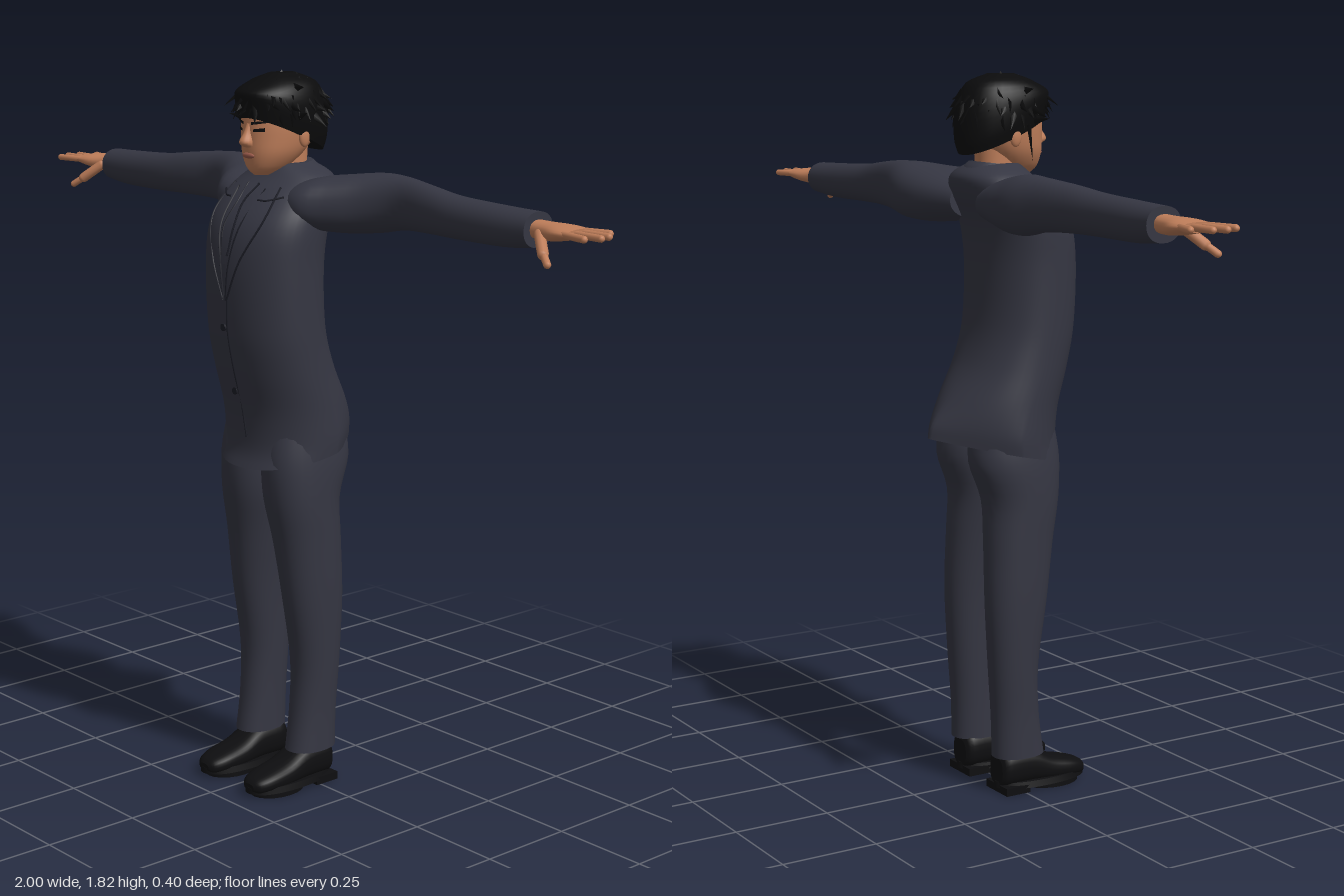
import * as THREE from 'three';
import { mergeGeometries } from 'three/addons/utils/BufferGeometryUtils.js';

const V = (x, y, z) => new THREE.Vector3(x, y, z);
const clamp = THREE.MathUtils.clamp;

// Section row: [t, aMin, aMax, bMin, bMax, exponent of the lower/back half]; Catmull-Rom between rows.
function sample(rows, f) {
  const n = rows.length - 1, i = Math.min(Math.floor(f), n - 1), u = f - i;
  const at = (k, c) => rows[clamp(k, 0, n)][c] ?? 2.2;
  return [0, 1, 2, 3, 4, 5].map((c) => {
    const p0 = at(i - 1, c), p1 = at(i, c), p2 = at(i + 1, c), p3 = at(i + 2, c);
    const m1 = (p2 - p0) / 2, m2 = (p3 - p1) / 2, d = p2 - p1;
    return p1 + u * (m1 + u * (3 * d - 2 * m1 - m2 + u * (m1 + m2 - 2 * d)));
  });
}

// Smooth skin over superellipse sections, closed at both ends.
function loft(rows, toVec, { sides = 32, steps = 4, power = 2.2 } = {}) {
  const pos = [], index = [], count = (rows.length - 1) * steps;
  const ring = (j, shrink) => {
    const [t, a0, a1, b0, b1, pb] = sample(rows, j / steps);
    for (let i = 0; i < sides; i++) {
      const w = (i / sides) * Math.PI * 2, c = Math.cos(w), s = Math.sin(w);
      const p = s < -1e-6 ? pb : power;
      const a = Math.sign(c) * Math.abs(c) ** (2 / p) * shrink;
      const b = Math.sign(s) * Math.abs(s) ** (2 / p) * shrink;
      pos.push(...toVec(t, (a0 + a1 + a * (a1 - a0)) / 2, (b0 + b1 + b * (b1 - b0)) / 2).toArray());
    }
  };
  // doubled end rings keep the rims crisp
  ring(0, 0.001); ring(0, 1);
  for (let j = 0; j <= count; j++) ring(j, 1);
  ring(count, 1); ring(count, 0.001);
  for (let j = 0; j < count + 4; j++) {
    if (j === 1 || j === count + 2) continue;
    for (let i = 0; i < sides; i++) {
      const k = (i + 1) % sides, A = j * sides + i, B = A + sides, C = j * sides + k, D = C + sides;
      index.push(A, B, C, C, B, D);
    }
  }
  const g = new THREE.BufferGeometry();
  g.setAttribute('position', new THREE.Float32BufferAttribute(pos, 3));
  g.setIndex(index);
  g.computeVertexNormals();
  return g;
}
const upright = (y, x, z) => V(x, y, z);
const sideways = (x, z, y) => V(x, y, z);
const forward = (z, y, x) => V(x, y, z);

// Front surface depth of an upright loft at x, y.
function frontZ(rows, x, y) {
  let lo = 0, hi = rows.length - 1;
  for (let i = 0; i < 24; i++) {
    const m = (lo + hi) / 2;
    if (sample(rows, m)[0] < y) lo = m; else hi = m;
  }
  const [, , w, b0, b1] = sample(rows, lo), q = Math.min(Math.abs(x) / w, 1);
  return (b0 + b1) / 2 + ((b1 - b0) / 2) * (1 - q ** 2.2) ** (1 / 2.2);
}

// Thin patch laid on the front of a loft between a left and a right edge (both running upwards).
function drape(rows, left, right, off, nu = 6, nv = 14) {
  const g = new THREE.PlaneGeometry(1, 1, nu, nv), p = g.attributes.position;
  const along = (e, v) => {
    const f = v * (e.length - 1), i = Math.min(Math.floor(f), e.length - 2);
    return [0, 1].map((c) => e[i][c] + (e[i + 1][c] - e[i][c]) * (f - i));
  };
  for (let i = 0; i < p.count; i++) {
    const u = p.getX(i) + 0.5, v = p.getY(i) + 0.5, l = along(left, v), r = along(right, v);
    const x = l[0] + (r[0] - l[0]) * u, y = l[1] + (r[1] - l[1]) * u;
    p.setXYZ(i, x, y, frontZ(rows, x, y) + off);
  }
  g.computeVertexNormals();
  return g;
}
const seam = (rows, pts, off = 0.005) => new THREE.TubeGeometry(
  new THREE.CatmullRomCurve3(pts.map(([x, y]) => V(x, y, frontZ(rows, x, y) + off))), 24, 0.0025, 5);

// Capsule from a to b, without uv so it merges with lofts
function rod(a, b, r) {
  const d = b.clone().sub(a), g = new THREE.CapsuleGeometry(r, d.length(), 4, 10).deleteAttribute('uv');
  g.applyQuaternion(new THREE.Quaternion().setFromUnitVectors(V(0, 1, 0), d.normalize()));
  const c = a.clone().add(b).multiplyScalar(0.5);
  return g.translate(c.x, c.y, c.z);
}
const ball = (x, y, z, sx, sy, sz) => new THREE.SphereGeometry(1, 16, 12).scale(sx, sy, sz).translate(x, y, z);

function spike(base, dir, len, r) {
  const g = new THREE.ConeGeometry(r, len, 4).scale(1, 1, 0.5).translate(0, len / 2, 0);
  g.applyQuaternion(new THREE.Quaternion().setFromUnitVectors(V(0, 1, 0), dir.clone().normalize()));
  return g.translate(base.x, base.y, base.z);
}

export function createModel() {
  const model = new THREE.Group();
  const mat = (name, color) => Object.assign(new THREE.MeshStandardMaterial({ color }), { name });
  const suit = mat('suit cloth', 0x353642), dark = mat('seam', 0x1c1d26), skin = mat('skin', 0xbf7e5a);
  const lip = mat('lips', 0x98594a), hair = mat('hair', 0x0b0b0c), leather = mat('shoe leather', 0x0e0e10);

  const add = (name, geo, material) => {
    const m = new THREE.Mesh(geo, material);
    m.name = name;
    model.add(m);
  };
  // Left part plus its mirror image on the right
  const pair = (name, geo, material) => {
    add('left' + name, geo, material);
    const g = geo.clone().scale(-1, 1, 1), ix = g.index.array;
    for (let i = 0; i < ix.length; i += 3) [ix[i], ix[i + 1]] = [ix[i + 1], ix[i]];
    g.computeVertexNormals();
    add('right' + name, g, material);
  };

  // Jacket: hem rises to a pointed tail at the back
  const torso = [
    [0.875, -0.168, 0.168, -0.2, 0.15, 1.3], [0.92, -0.17, 0.17, -0.188, 0.135, 1.4],
    [1.0, -0.166, 0.166, -0.145, 0.14, 1.8], [1.1, -0.163, 0.163, -0.09, 0.168],
    [1.2, -0.163, 0.163, -0.062, 0.185], [1.35, -0.163, 0.163, -0.057, 0.19],
    [1.45, -0.165, 0.165, -0.07, 0.173], [1.52, -0.155, 0.155, -0.1, 0.125],
    [1.565, -0.12, 0.12, -0.105, 0.075], [1.595, -0.06, 0.06, -0.07, 0.05],
  ];
  add('jacket', loft(torso, (y, x, z) => V(x, y - 0.214 * clamp((1.1 - y) / 0.2, 0, 1) * z, z), { sides: 48, steps: 5 }), suit);
  add('collar', loft([
    [1.545, -0.085, 0.085, -0.1, 0.085], [1.575, -0.072, 0.072, -0.085, 0.068], [1.592, -0.06, 0.06, -0.07, 0.055],
  ], (y, x, z) => V(x, y - 0.12 * z, z)), suit);

  // Lapels, tie, closing seam and buttons
  const inner = [[0.003, 1.27], [0.015, 1.36], [0.035, 1.45], [0.05, 1.54]];
  const outer = [[0.006, 1.27], [0.05, 1.37], [0.095, 1.47], [0.085, 1.545]];
  pair('Lapel', drape(torso, inner, outer, 0.005), suit);
  pair('LapelSeam', seam(torso, outer), dark);
  pair('LapelFold', seam(torso, inner), dark);
  pair('CollarNotch', seam(torso, [[0.05, 1.515], [0.075, 1.515], [0.11, 1.525]]), dark);
  add('tie', drape(torso, [[-0.01, 1.36], [-0.018, 1.45], [-0.01, 1.51], [-0.02, 1.55]],
    [[0.01, 1.36], [0.018, 1.45], [0.01, 1.51], [0.02, 1.55]], 0.008), suit);
  pair('TieEdge', seam(torso, [[0.01, 1.38], [0.018, 1.45], [0.01, 1.51], [0.02, 1.55]], 0.007), dark);
  add('frontSeam', seam(torso, [[0.004, 1.27], [0, 1.2], [0.002, 1.1], [0, 1.0], [0.012, 0.92]], 0.001), dark);
  for (const y of [1.2, 1.035]) {
    const b = new THREE.CylinderGeometry(0.009, 0.009, 0.006, 14).rotateX(Math.PI / 2);
    add('button', b.translate(-0.014, y, frontZ(torso, -0.014, y) + 0.002), dark);
  }

  // Sleeves
  pair('Sleeve', loft([
    [0.06, -0.1, 0.08, 1.45, 1.55], [0.14, -0.13, 0.095, 1.44, 1.57], [0.2, -0.145, 0.05, 1.435, 1.578],
    [0.27, -0.148, -0.005, 1.44, 1.585], [0.35, -0.13, -0.035, 1.455, 1.582], [0.45, -0.112, -0.025, 1.46, 1.572],
    [0.55, -0.105, -0.015, 1.46, 1.56], [0.7, -0.11, -0.015, 1.46, 1.553], [0.79, -0.115, -0.02, 1.468, 1.55],
  ], sideways), suit);

  // Hands
  const hand = [loft([
    [0.77, -0.092, -0.042, 1.49, 1.533], [0.82, -0.1, -0.035, 1.488, 1.531],
    [0.87, -0.116, -0.02, 1.493, 1.53], [0.915, -0.116, -0.02, 1.502, 1.525],
  ], sideways, { sides: 20 })];
  const fingers = [[-0.03, -0.014, 0.975], [-0.056, -0.05, 0.992], [-0.082, -0.083, 0.985], [-0.106, -0.12, 0.955]];
  for (const [z0, z1, tip] of fingers) hand.push(rod(V(0.9, 1.514, z0), V(tip, 1.514, z1), 0.0085));
  hand.push(rod(V(0.82, 1.505, -0.04), V(0.862, 1.468, -0.008), 0.013));
  hand.push(rod(V(0.86, 1.47, -0.01), V(0.888, 1.45, 0.006), 0.009));
  pair('Hand', mergeGeometries(hand), skin);

  // Trousers
  pair('TrouserLeg', loft([
    [0.095, 0.048, 0.15, -0.07, 0.07], [0.2, 0.047, 0.15, -0.072, 0.055], [0.33, 0.043, 0.156, -0.08, 0.05],
    [0.5, 0.034, 0.163, -0.088, 0.075], [0.65, 0.016, 0.165, -0.085, 0.095], [0.76, -0.002, 0.166, -0.085, 0.115],
    [0.86, -0.008, 0.163, -0.12, 0.122], [0.95, -0.01, 0.15, -0.11, 0.11],
  ], upright), suit);

  // Shoes: upper, sole and heel
  pair('ShoeUpper', loft([
    [-0.058, 0.02, 0.09, 0.06, 0.12, 2.6], [-0.04, 0.015, 0.11, 0.045, 0.135, 2.6], [0.03, 0.015, 0.108, 0.045, 0.138, 2.6],
    [0.09, 0.012, 0.078, 0.042, 0.14, 2.6], [0.15, 0.012, 0.062, 0.044, 0.138, 2.6], [0.185, 0.012, 0.05, 0.056, 0.126, 2.6],
    [0.198, 0.02, 0.038, 0.074, 0.108, 2.6],
  ], forward, { power: 2.6, sides: 28 }), leather);
  pair('Sole', loft([
    [0.012, 0.034, 0.148, -0.062, 0.2], [0.028, 0.038, 0.144, -0.06, 0.2],
  ], upright, { steps: 1 }), leather);
  pair('Heel', new THREE.BoxGeometry(0.1, 0.02, 0.07).translate(0.091, 0.01, -0.023), leather);
  pair('ToeTread', new THREE.CylinderGeometry(0.055, 0.055, 0.012, 20).scale(1, 1, 1.4).translate(0.091, 0.006, 0.105), leather);

  // Neck and head
  add('neck', loft([[1.5, -0.05, 0.05, -0.06, 0.042], [1.57, -0.046, 0.046, -0.055, 0.045], [1.65, -0.048, 0.048, -0.06, 0.05]], upright), skin);
  const head = [
    [1.568, -0.02, 0.02, 0.03, 0.095], [1.585, -0.042, 0.042, 0, 0.11], [1.62, -0.064, 0.064, -0.04, 0.118],
    [1.66, -0.074, 0.074, -0.075, 0.119], [1.7, -0.077, 0.077, -0.085, 0.118], [1.75, -0.075, 0.075, -0.085, 0.11],
    [1.79, -0.05, 0.05, -0.06, 0.08],
  ];
  add('head', loft(head, upright), skin);
  add('nose', loft([
    [1.638, -0.014, 0.014, 0.1, 0.128], [1.65, -0.017, 0.017, 0.1, 0.142],
    [1.672, -0.01, 0.01, 0.1, 0.13], [1.695, -0.008, 0.008, 0.1, 0.12],
  ], upright, { sides: 16 }), skin);
  add('mouth', ball(0, 1.617, 0.117, 0.022, 0.007, 0.006), lip);
  pair('Ear', ball(0.078, 1.662, 0.005, 0.009, 0.026, 0.016), skin);
  pair('Eye', drape(head, [[0.02, 1.676], [0.02, 1.682]], [[0.047, 1.677], [0.047, 1.686]], 0.002), hair);
  pair('Eyebrow', drape(head, [[0.014, 1.692], [0.014, 1.699]], [[0.056, 1.699], [0.056, 1.704]], 0.003), hair);

  // Hair: a cap with loose locks over it
  add('hairCap', loft([
    [1.658, -0.083, 0.083, -0.1, 0.126], [1.7, -0.091, 0.091, -0.11, 0.133], [1.75, -0.09, 0.09, -0.105, 0.132],
    [1.79, -0.07, 0.07, -0.078, 0.1], [1.812, -0.025, 0.025, -0.025, 0.045],
  ], (y, x, z) => V(x, y + 0.42 * clamp((1.79 - y) / 0.1, 0, 1) * z, z)), hair);
  let seed = 7;
  const rnd = () => (seed = (seed * 16807) % 2147483647) / 2147483647;
  const locks = [];
  for (let i = 0; i < 110; i++) {
    const a = i * 2.39996, h = 1 - (i / 110) * 1.25, r = Math.sqrt(1 - h * h);
    const n = V(Math.cos(a) * r, h, Math.sin(a) * r);
    const front = n.z > 0.4 && h < 0.25;
    const base = V(n.x * 0.086, 1.728 + n.y * 0.08 + (front ? 0.02 : 0), 0.012 + n.z * 0.112);
    const dir = V(n.x * 0.5 + rnd() - 0.5, -0.55 + (rnd() - 0.5) * 0.5, n.z * 0.3 + (rnd() - 0.5) * 0.8);
    locks.push(spike(base, dir, 0.03 + rnd() * 0.025, 0.012));
  }
  // stray locks at the temples
  for (const [x, y, z, dx, dy, len] of [[-0.08, 1.73, 0.05, -1, -0.35, 0.065], [-0.08, 1.7, 0.06, -1, 0.1, 0.055],
    [-0.083, 1.69, 0.04, -0.05, -1, 0.09], [0.08, 1.74, 0.05, 1, -0.3, 0.045], [0.08, 1.71, 0.03, 1, 0.3, 0.045],
    [-0.075, 1.77, 0.03, -1, 0.2, 0.04], [0.07, 1.78, 0.03, 1, 0.1, 0.04]]) {
    locks.push(spike(V(x, y, z), V(dx, dy, 0.1), len, 0.012));
  }
  add('hairLocks', mergeGeometries(locks), hair);
  return model;
}
